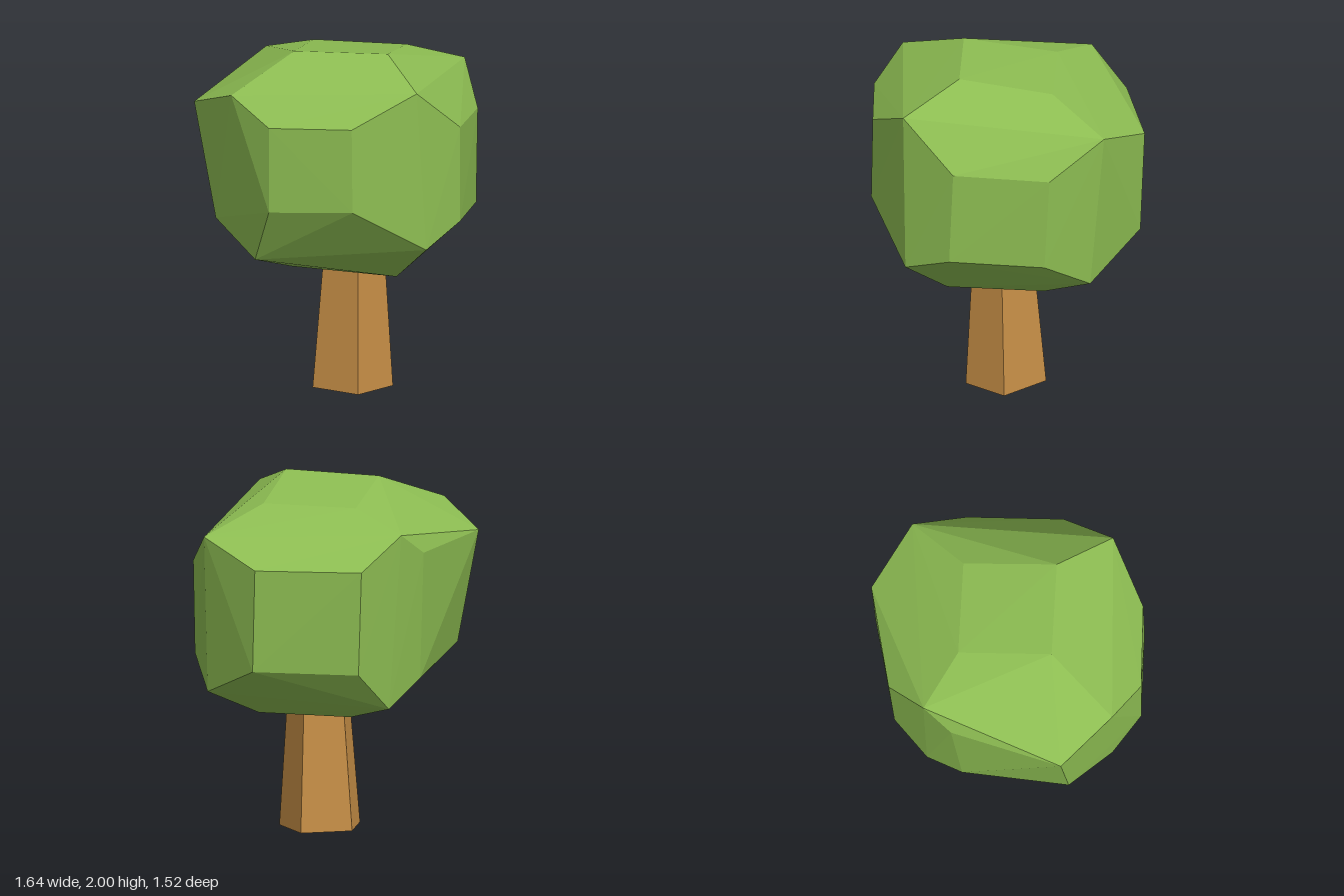
import * as THREE from 'three';
import { ConvexGeometry } from 'three/addons/geometries/ConvexGeometry.js';

// A faceted solid wrapped around a handful of corner points
function facetedMesh(name, corners, color) {
  const geometry = new ConvexGeometry(corners.map((c) => new THREE.Vector3(...c)));
  const material = new THREE.MeshStandardMaterial({ color, flatShading: true });
  const mesh = new THREE.Mesh(geometry, material);
  mesh.name = name;
  return mesh;
}

export function createModel() {
  const tree = new THREE.Group();
  tree.name = 'tree';

  // Trunk: uneven five-sided post, tapering upwards
  const base = [[-0.03, 0.23], [0.23, 0.15], [0.23, -0.14], [-0.05, -0.22], [-0.2, 0]];
  const taper = 0.77;
  const trunk = [];
  for (const [x, z] of base) {
    trunk.push([x, 0.01 - 0.04 * z, z]);
    trunk.push([x * taper + 0.01, 0.74, z * taper + 0.02]);
  }
  tree.add(facetedMesh('trunk', trunk, 0xc68e46));

  // Foliage: rings of corners from the crown down to the underside
  const crown = [[0.09, 2, 0.36], [-0.33, 1.99, 0.03], [0, 1.92, -0.38], [0.42, 1.92, -0.05]];
  const shoulder = [
    [0.08, 1.86, 0.74], [0.41, 1.6, 0.63], [0.74, 1.57, 0.2], [0.82, 1.78, -0.12],
    [0.68, 1.65, -0.5], [0.14, 1.64, -0.76], [-0.13, 1.82, -0.71], [-0.3, 1.69, -0.64],
    [-0.82, 1.69, -0.25], [-0.78, 1.81, 0.13], [-0.68, 1.67, 0.4], [-0.3, 1.68, 0.68],
  ];
  const waist = [
    [0.13, 0.95, 0.76], [0.4, 1.06, 0.65], [0.72, 1.03, 0.22], [0.77, 0.87, -0.06],
    [0.68, 1.06, -0.47], [0.14, 1.04, -0.72], [-0.08, 0.81, -0.65], [-0.31, 0.95, -0.57],
    [-0.74, 1.03, -0.14], [-0.67, 0.86, 0.21], [-0.68, 1.18, 0.4], [-0.3, 1.2, 0.69],
  ];
  const underside = [[0.1, 0.725, 0.45], [0.42, 0.7, 0.01], [0, 0.7, -0.31], [-0.33, 0.73, 0]];
  tree.add(facetedMesh('foliage', [...crown, ...shoulder, ...waist, ...underside], 0x8dbd52));

  return tree;
}
